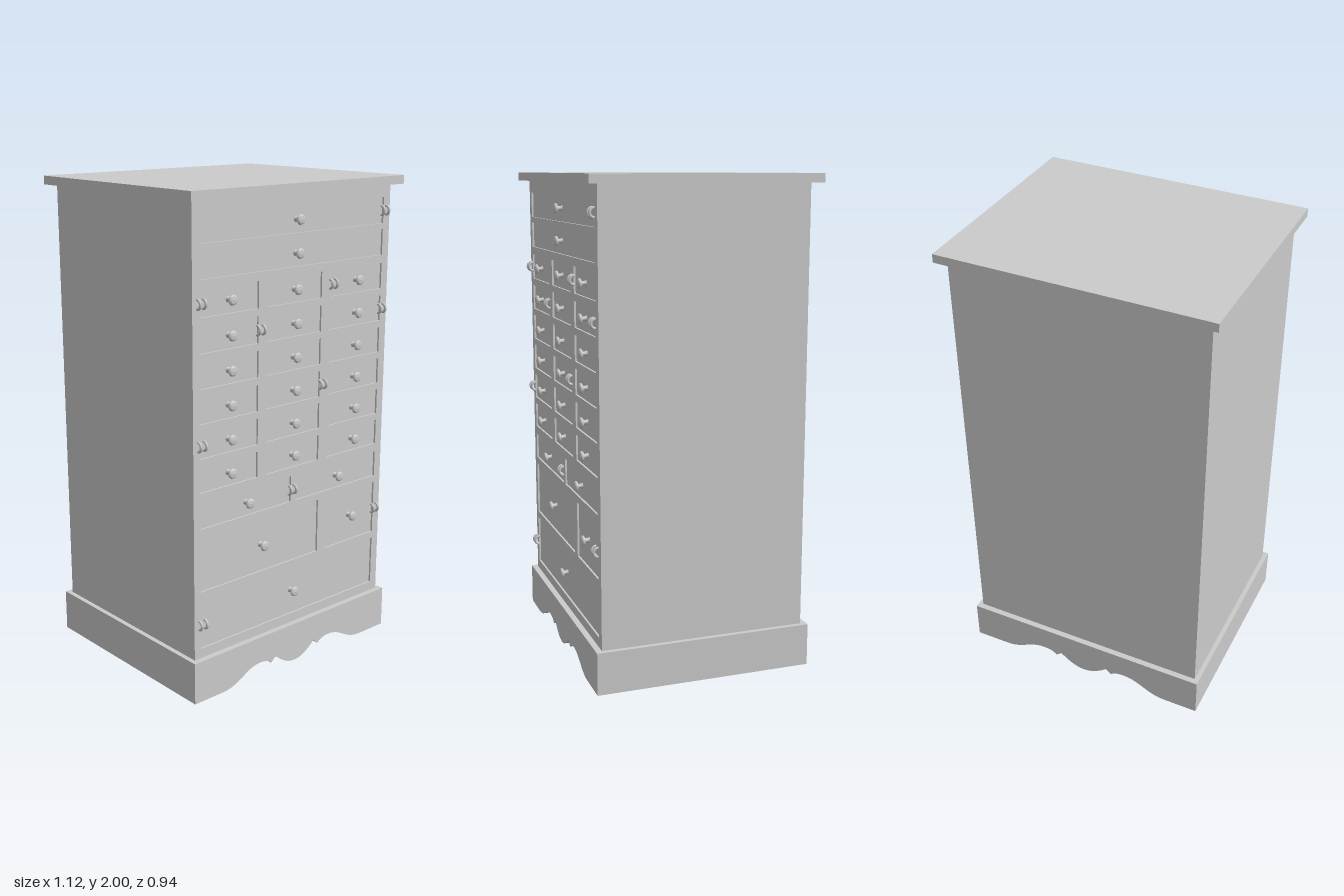
import * as THREE from 'three';

const grey = new THREE.MeshStandardMaterial({ color: 0xcccccc });

function mesh(name, geometry, x = 0, y = 0, z = 0) {
  const m = new THREE.Mesh(geometry, grey);
  m.name = name;
  m.position.set(x, y, z);
  return m;
}

const FRONT = 0.427; // z of the front face
const RECESS = 0.008; // how far the drawer fronts sit back

// Drawer columns as [left, right]
const FULL = [[-0.495, 0.49]];
const THIRDS = [[-0.495, -0.2], [-0.155, 0.14], [0.19, 0.49]];
const HALVES = [[-0.495, -0.015], [0.01, 0.49]];
const UNEVEN = [[-0.495, 0.145], [0.19, 0.49]];

// Drawer rows: centre height, half height, columns
const rows = [
  [1.86, 0.053, FULL], [1.73, 0.053, FULL],
  ...[1.59, 1.455, 1.32, 1.185, 1.05, 0.915].map(y => [y, 0.053, THIRDS]),
  [0.77, 0.055, HALVES], [0.57, 0.115, UNEVEN], [0.32, 0.105, FULL],
];

// Small looped catches at the drawer ends
const catches = [
  [0.487, 1.86], [-0.492, 1.59], [0.195, 1.59], [-0.197, 1.455], [0.487, 1.455],
  [0.145, 1.185], [-0.492, 1.05], [-0.016, 0.77], [0.487, 0.57], [-0.492, 0.32],
];

function rectPath(path, x0, y0, x1, y1) {
  path.moveTo(x0, y0);
  path.lineTo(x1, y0);
  path.lineTo(x1, y1);
  path.lineTo(x0, y1);
  path.closePath();
  return path;
}

// Front frame with an opening for every drawer
function faceFrame() {
  const shape = rectPath(new THREE.Shape(), -0.527, 0.175, 0.527, 1.965);
  for (const [y, h, columns] of rows) {
    for (const [x0, x1] of columns) shape.holes.push(rectPath(new THREE.Path(), x0, y - h, x1, y + h));
  }
  return new THREE.ExtrudeGeometry(shape, { depth: RECESS, bevelEnabled: false });
}

// Plinth with a scalloped underside running front to back
function plinth() {
  const s = new THREE.Shape();
  s.moveTo(-0.547, 0.175);
  s.lineTo(-0.547, 0);
  s.lineTo(-0.4, 0);
  s.bezierCurveTo(-0.31, 0, -0.28, 0.062, -0.2, 0.062);
  s.quadraticCurveTo(-0.155, 0.062, -0.137, 0.04);
  s.lineTo(-0.112, 0.062);
  s.bezierCurveTo(-0.08, 0.035, -0.045, 0.008, 0, 0.008);
  s.bezierCurveTo(0.045, 0.008, 0.08, 0.035, 0.112, 0.062);
  s.lineTo(0.137, 0.04);
  s.quadraticCurveTo(0.155, 0.062, 0.2, 0.062);
  s.bezierCurveTo(0.28, 0.062, 0.31, 0, 0.4, 0);
  s.lineTo(0.547, 0);
  s.lineTo(0.547, 0.175);
  s.closePath();
  return new THREE.ExtrudeGeometry(s, { depth: 0.904, bevelEnabled: false, curveSegments: 16 });
}

// Round knob turned about its axis, pointing forwards
function knobGeometry() {
  const profile = [
    [0.012, 0], [0.009, 0.006], [0.008, 0.018], [0.017, 0.021],
    [0.021, 0.026], [0.019, 0.032], [0.012, 0.035], [0.009, 0.033], [0, 0.036],
  ].map(p => new THREE.Vector2(...p));
  return new THREE.LatheGeometry(profile, 24).rotateX(Math.PI / 2);
}

export function createModel() {
  const group = new THREE.Group();
  group.name = 'chestOfDrawers';

  // Carcass, frame, top and plinth
  const depth = 2 * FRONT - RECESS;
  group.add(
    mesh('carcass', new THREE.BoxGeometry(1.054, 1.79, depth), 0, 1.07, -RECESS / 2),
    mesh('faceFrame', faceFrame(), 0, 0, FRONT - RECESS),
    mesh('top', new THREE.BoxGeometry(1.124, 0.035, 0.936), 0, 1.9825, 0),
    mesh('plinth', plinth(), 0, 0, -0.452),
  );

  // A knob in the middle of every drawer
  const knob = knobGeometry();
  for (const [y, , columns] of rows) {
    for (const [x0, x1] of columns) {
      group.add(mesh('drawerKnob', knob, (x0 + x1) / 2, y, FRONT - RECESS));
    }
  }

  // Catches: two half loops side by side
  const loop = new THREE.TorusGeometry(0.018, 0.0055, 8, 16, Math.PI)
    .rotateZ(-Math.PI / 2).rotateY(-Math.PI / 2);
  for (const [x, y] of catches) {
    const pair = new THREE.Group();
    pair.name = 'drawerCatch';
    for (const side of [-1, 1]) pair.add(mesh('catchLoop', loop, x + side * 0.0135, y, FRONT + 0.003));
    group.add(pair);
  }
  return group;
}
